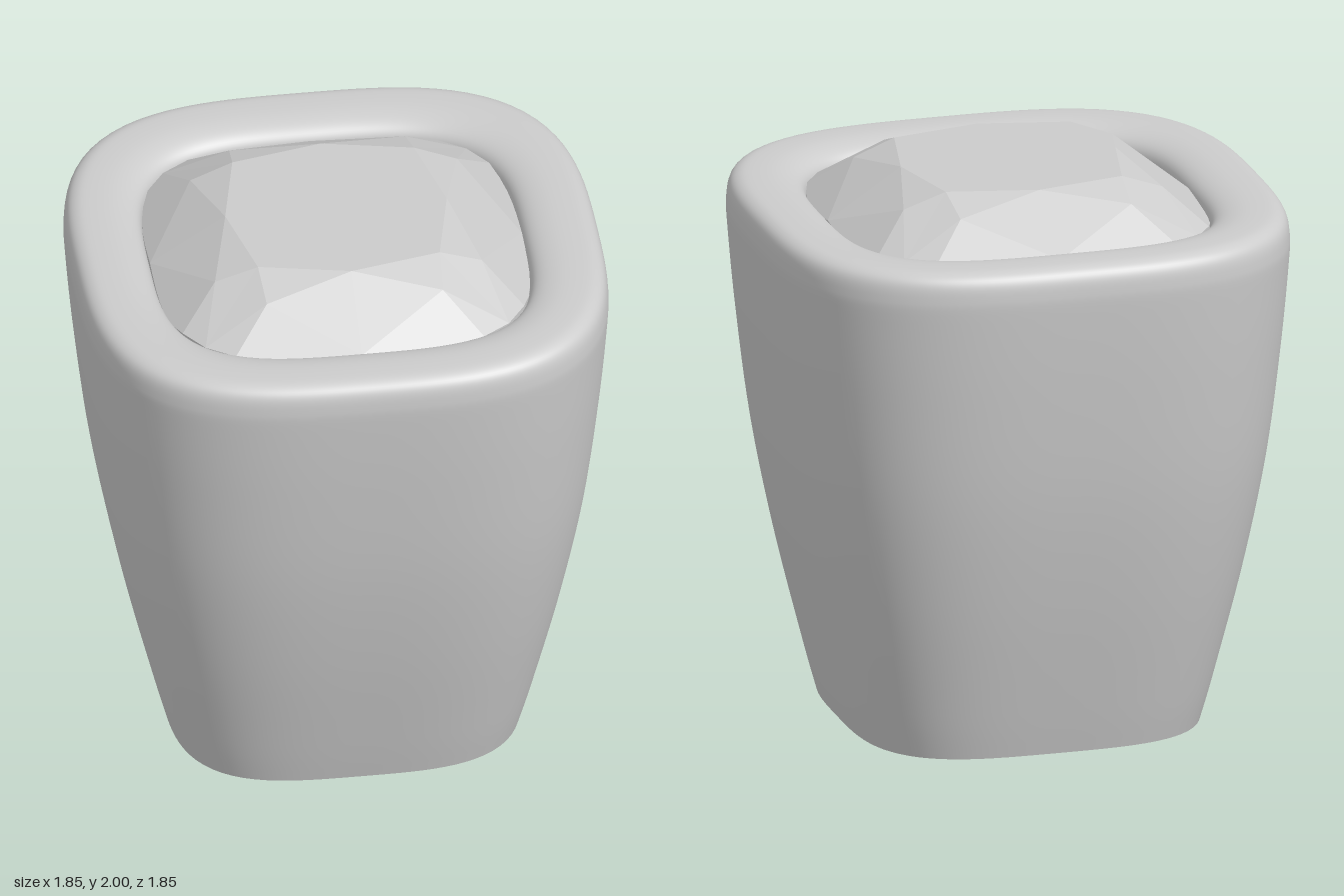
import * as THREE from 'three';
import { mergeVertices } from 'three/addons/utils/BufferGeometryUtils.js';

const V = (x, y, z) => new THREE.Vector3(x, y, z);

// Factor that turns a circle into a rounded square
const cushion = (a, n) =>
  Math.pow(Math.abs(Math.cos(a)) ** n + Math.abs(Math.sin(a)) ** n, -1 / n);

// Lathe whose circular rings are reshaped into rounded squares
function cushionLathe(points) {
  const g = new THREE.LatheGeometry(points, 112);
  const p = g.attributes.position;
  for (let i = 0; i < p.count; i++) {
    const x = p.getX(i), z = p.getZ(i), r = Math.hypot(x, z);
    // corners get slightly squarer towards the inside
    const n = THREE.MathUtils.mapLinear(THREE.MathUtils.clamp(r, 0.65, 0.92), 0.65, 0.92, 3.4, 3.1);
    const f = cushion(Math.atan2(z, x), n);
    p.setX(i, x * f);
    p.setZ(i, z * f);
  }
  g.deleteAttribute('normal');
  g.deleteAttribute('uv');
  const merged = mergeVertices(g, 1e-5);
  merged.computeVertexNormals();
  return merged;
}

const smooth = (pts, n) =>
  new THREE.SplineCurve(pts.map(([x, y]) => new THREE.Vector2(x, y))).getPoints(n);

// Faceted cushion-cut stone, one eighth repeated by rotation and mirroring
function gemGeometry() {
  const top = 2, mid = 1.945, rim = 1.826, band = 0.04;
  const centre = V(0, top, 0), culet = V(0, 1.2, 0);
  const t0 = V(0, top, 0.39), t1 = V(0.32, top, 0.32), star = V(0.31, mid, 0.47);
  const girdlePoint = (deg) => {
    const a = THREE.MathUtils.degToRad(deg), r = 0.655 * cushion(a, 3.4);
    return V(r * Math.sin(a), rim, r * Math.cos(a));
  };
  const girdle = [0, 6, 12, 18, 24, 30, 36, 45].map(girdlePoint);
  // keep the long girdle facet flat by lowering the bulging points onto its plane
  const n = girdle[0].clone().sub(star).cross(girdle[6].clone().sub(star));
  for (const p of girdle.slice(1, 6)) {
    p.y = star.y - (n.x * (p.x - star.x) + n.z * (p.z - star.z)) / n.y;
  }

  const tris = [
    [centre, t0, t1],      // table
    [t0, star, t1],        // star facet
    [t0, girdle[0], star], // side kite
    [t1, star, girdle[7]], // corner kite
  ];
  for (let i = 0; i < girdle.length - 1; i++) {
    const a = girdle[i], b = girdle[i + 1];
    const al = V(a.x, rim - band, a.z), bl = V(b.x, rim - band, b.z);
    tris.push([star, a, b], [a, al, bl], [a, bl, b], [al, culet, bl]);
  }

  const out = [], up = V(0, 1, 0);
  for (let k = 0; k < 4; k++) {
    for (const s of [1, -1]) {
      for (const [a, b, c] of tris) {
        for (const p of s > 0 ? [a, b, c] : [a, c, b]) {
          const q = V(p.x * s, p.y, p.z).applyAxisAngle(up, k * Math.PI / 2);
          out.push(q.x, q.y, q.z);
        }
      }
    }
  }
  const g = new THREE.BufferGeometry();
  g.setAttribute('position', new THREE.Float32BufferAttribute(out, 3));
  g.computeVertexNormals();
  return g;
}

export function createModel() {
  const group = new THREE.Group();
  group.name = 'gemSetting';
  const add = (name, geometry, options = {}) => {
    const mesh = new THREE.Mesh(geometry,
      new THREE.MeshStandardMaterial({ color: 0xcccccc, ...options }));
    mesh.name = name;
    group.add(mesh);
  };

  // Outer wall flowing over the rounded lip to the stone
  const wall = smooth([[0.622, 0.008], [0.672, 0.2], [0.768, 0.6], [0.845, 1], [0.895, 1.4],
    [0.922, 1.7], [0.924, 1.79], [0.912, 1.845], [0.88, 1.872], [0.83, 1.879],
    [0.755, 1.876], [0.695, 1.858], [0.662, 1.826], [0.65, 1.77]], 70);
  add('outerWallAndLip', cushionLathe(wall));

  // Hollow inside
  const inside = smooth([[0.65, 1.77], [0.64, 1.5], [0.615, 1], [0.555, 0.5], [0.46, 0]], 24);
  add('innerWall', cushionLathe(inside), { side: THREE.DoubleSide });

  // Flat foot ring
  const foot = [new THREE.Vector2(0.46, 0), new THREE.Vector2(0.622, 0.008)];
  add('footRing', cushionLathe(foot), { side: THREE.DoubleSide });

  // Cut stone
  add('stone', gemGeometry(), { flatShading: true });
  return group;
}
